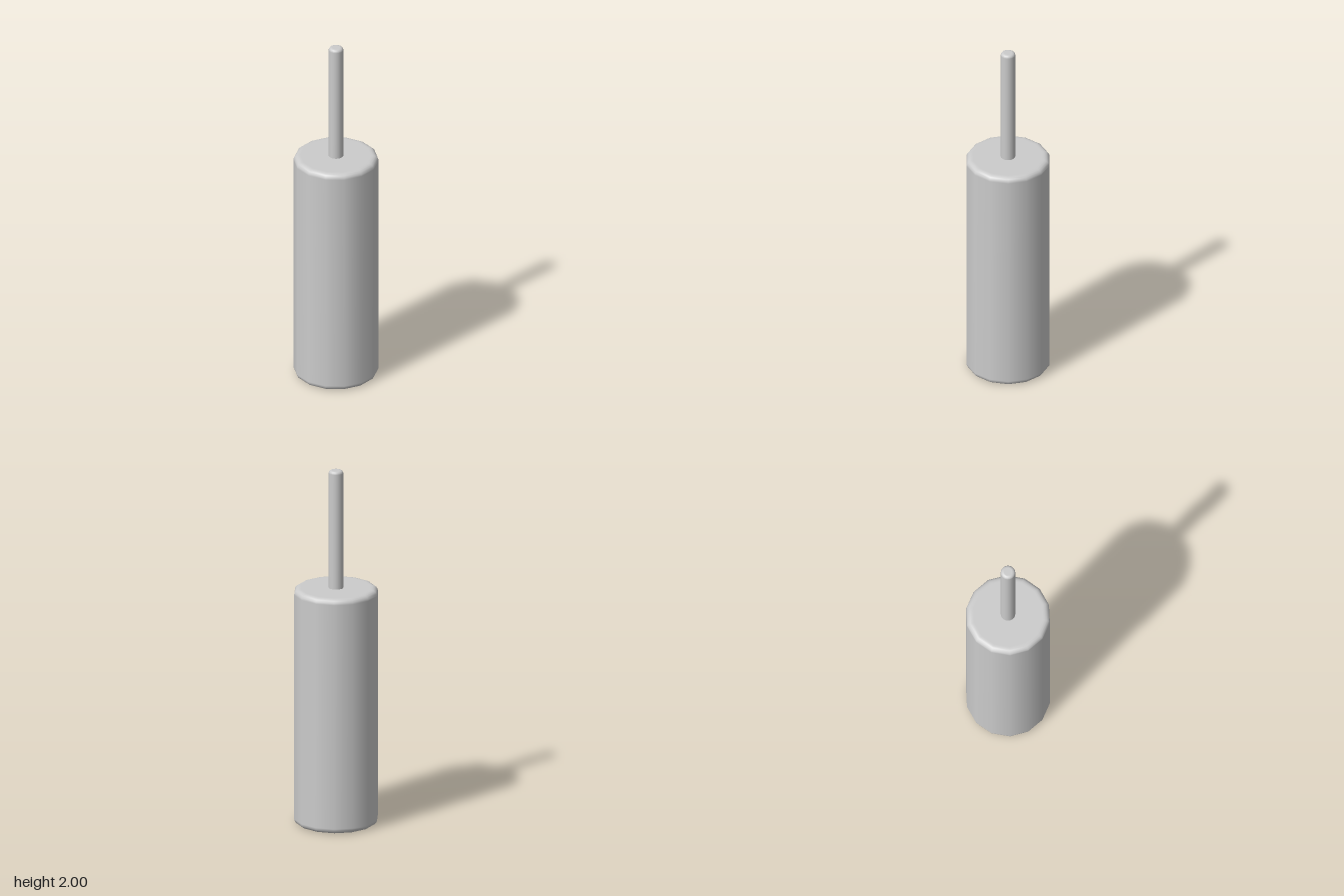
import * as THREE from 'three';

const material = new THREE.MeshStandardMaterial({ color: 0xcccccc });

// Solid of revolution with rounded rims at both ends
function roundedCylinder(name, radius, bottom, top, bevel, sides) {
  const steps = 4;
  const points = [new THREE.Vector2(0, bottom), new THREE.Vector2((radius - bevel) * 0.95, bottom)];
  for (const end of [0, 1]) {
    const cy = end ? top - bevel : bottom + bevel;
    for (let i = 0; i <= steps; i++) {
      const a = (end - 1 + i / steps) * Math.PI / 2;
      points.push(new THREE.Vector2(radius - bevel + bevel * Math.cos(a), cy + bevel * Math.sin(a)));
    }
  }
  points.push(new THREE.Vector2((radius - bevel) * 0.95, top), new THREE.Vector2(0, top));
  const mesh = new THREE.Mesh(new THREE.LatheGeometry(points, sides), material);
  mesh.name = name;
  return mesh;
}

export function createModel() {
  const group = new THREE.Group();
  group.name = 'brushAndHolder';
  // Fourteen-sided holder
  group.add(roundedCylinder('holder', 0.231, 0, 1.333, 0.03, 14));
  // Slim handle rising from the centre of the lid
  group.add(roundedCylinder('handle', 0.04, 1.3, 2, 0.016, 18));
  return group;
}
